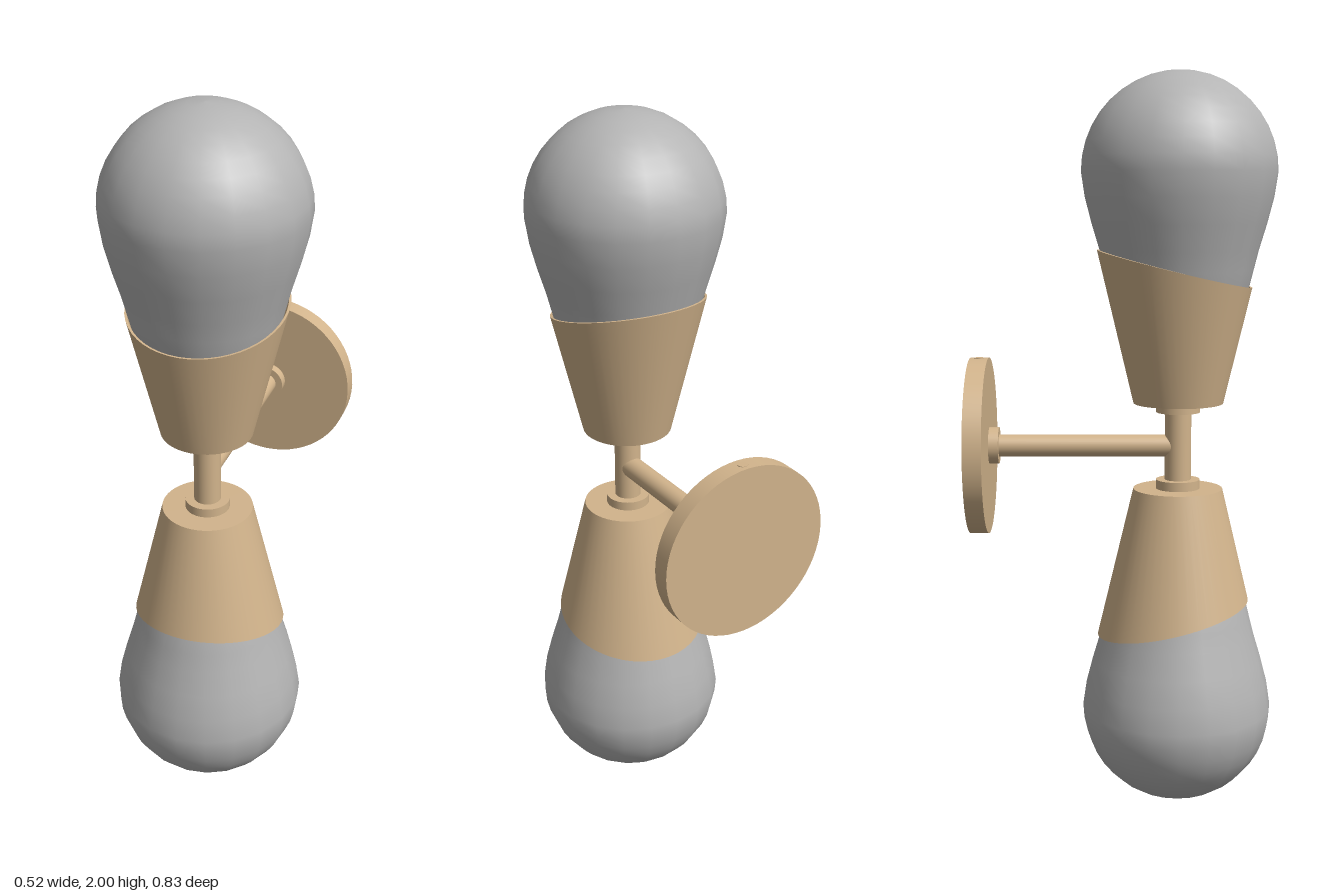
import * as THREE from 'three';
import { toCreasedNormals } from 'three/addons/utils/BufferGeometryUtils.js';

const MID = 1.002; // height of the mirror plane
const AXIS_Z = 0.15; // depth of the vertical lamp axis

export function createModel() {
  const brass = new THREE.MeshStandardMaterial({ color: 0xd2b48c });
  brass.name = 'brass';
  const glass = new THREE.MeshStandardMaterial({ color: 0xb4b4b4 });
  glass.name = 'smoked glass';

  const model = new THREE.Group();
  model.name = 'wallLamp';

  function add(parent, name, geometry, material, x = 0, y = 0, z = 0) {
    const mesh = new THREE.Mesh(geometry, material);
    mesh.name = name;
    mesh.position.set(x, y, z);
    parent.add(mesh);
    return mesh;
  }
  const rod = (r, length, sides = 32) => new THREE.CylinderGeometry(r, r, length, sides);

  // Tapered cup whose rim is cut by a plane sloping up towards the wall
  function cupGeometry() {
    const base = 0.118, r0 = 0.122, taper = 0.238, wall = 0.006;
    const cutHeight = 0.478, cutSlope = 0.24;
    const profile = [[0, base], [r0, base], [r0 + 0.08, 0.48], [r0 + 0.074, 0.48], [r0 - wall, base + 0.01], [0, base + 0.01]];
    const geo = new THREE.LatheGeometry(profile.map(([r, y]) => new THREE.Vector2(r, y)), 48);
    const pos = geo.attributes.position;
    for (let i = 0; i < pos.count; i++) {
      const ring = i % profile.length;
      if (ring !== 2 && ring !== 3) continue;
      const angle = Math.atan2(pos.getX(i), pos.getZ(i));
      const slope = cutSlope * Math.cos(angle);
      const y = (cutHeight - slope * (r0 - taper * base)) / (1 + slope * taper);
      const r = r0 + taper * (y - base) - (ring === 3 ? wall : 0);
      pos.setXYZ(i, r * Math.sin(angle), y, r * Math.cos(angle));
    }
    return toCreasedNormals(geo, 0.6);
  }

  // Pear-shaped bulb with a spherical end
  function bulbGeometry() {
    const profile = [[0, 0.2], [0.12, 0.2], [0.188, 0.43], [0.2, 0.478], [0.213, 0.53], [0.234, 0.6], [0.252, 0.67]];
    const points = profile.map(([r, y]) => new THREE.Vector2(r, y));
    for (let i = 0; i <= 10; i++) {
      const a = (i / 10) * Math.PI / 2;
      points.push(new THREE.Vector2(i === 10 ? 0 : 0.262 * Math.cos(a), 0.737 + 0.262 * Math.sin(a)));
    }
    return new THREE.LatheGeometry(points, 20);
  }

  // Two identical lamp heads, the lower one turned upside down
  const cup = cupGeometry();
  const bulb = bulbGeometry();
  for (const [name, turn] of [['upperLamp', 0], ['lowerLamp', Math.PI]]) {
    const lamp = new THREE.Group();
    lamp.name = name;
    lamp.position.set(0, MID, AXIS_Z);
    lamp.rotation.z = turn;
    add(lamp, 'cup', cup, brass);
    add(lamp, 'bulb', bulb, glass);
    add(lamp, 'cupCollar', rod(0.06, 0.026), brass, 0, 0.106, 0);
    model.add(lamp);
  }

  // Stem between the cups and the arm back to the wall
  add(model, 'stem', rod(0.036, 0.22), brass, 0, MID, AXIS_Z);
  add(model, 'arm', rod(0.03, 0.5), brass, 0, MID, -0.1).rotation.x = Math.PI / 2;
  add(model, 'armCollar', rod(0.05, 0.027), brass, 0, MID, -0.352).rotation.x = Math.PI / 2;

  // Round wall plate with a small set screw in its top edge
  add(model, 'wallPlate', rod(0.24, 0.05, 64), brass, 0, MID, -0.39).rotation.x = Math.PI / 2;
  add(model, 'setScrew', rod(0.014, 0.02, 20), brass, 0, MID + 0.231, -0.39);

  return model;
}
